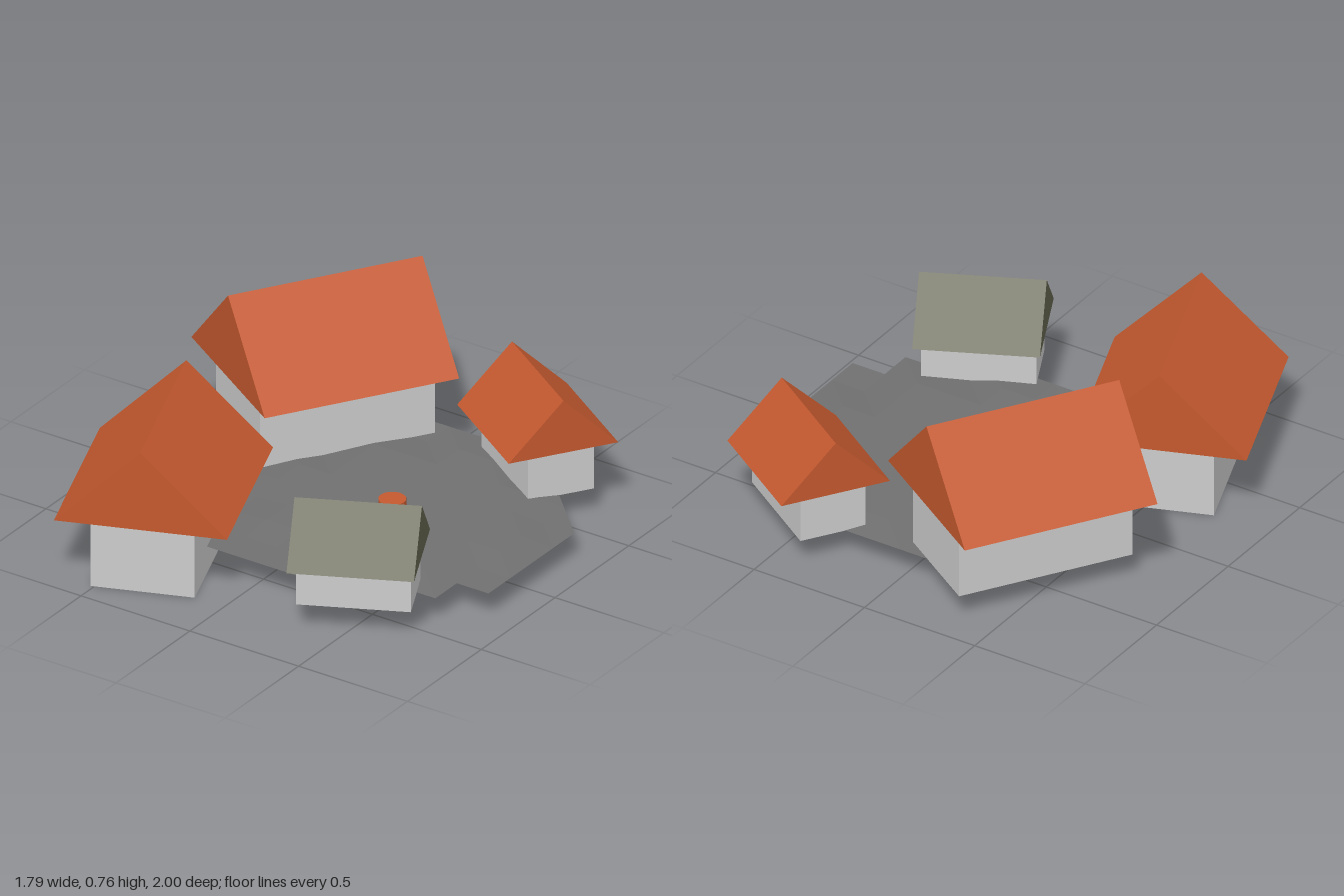
import * as THREE from 'three';

const mat = (color, side = THREE.FrontSide) =>
  new THREE.MeshStandardMaterial({ color, side, flatShading: true });

const wallMat = mat(0xcccccc);
const tileMat = mat(0xc4592f);
const mossMat = mat(0x62634f);
const groundMat = mat(0x707070, THREE.DoubleSide);

// House: box walls under a solid gable roof; ridge runs along local z
function house(name, { x, z, ridge, width, length, base, eave, top, roofMat }) {
  const g = new THREE.Group();
  g.name = name;
  g.position.set(x, 0, z);
  g.rotation.y = Math.atan2(ridge[0], ridge[1]);

  const walls = new THREE.Mesh(
    new THREE.BoxGeometry(width * 0.6, eave - base, length * 0.9), wallMat);
  walls.position.y = (eave + base) / 2;
  walls.name = 'walls';

  const gable = new THREE.Shape([
    new THREE.Vector2(-width / 2, eave),
    new THREE.Vector2(width / 2, eave),
    new THREE.Vector2(0, top),
  ]);
  const roof = new THREE.Mesh(
    new THREE.ExtrudeGeometry(gable, { depth: length, bevelEnabled: false })
      .translate(0, 0, -length / 2), roofMat);
  roof.name = 'roof';
  g.add(walls, roof);
  return g;
}

// Village square: a 9 x 9 grid of thin cells, slightly raised in the middle
function ground() {
  const n = 9, x0 = -0.42, z0 = -0.73, step = 1.31 / n;
  const pos = [], index = [];
  for (let j = 0; j <= n; j++) {
    for (let i = 0; i <= n; i++) {
      const x = x0 + i * step, z = z0 + j * step;
      const r = Math.hypot(x - 0.235, z + 0.075);
      pos.push(x, r < 0.52 ? 0.124 : 0.114, z);
    }
  }
  for (let j = 0; j < n; j++) {
    for (let i = 0; i < n; i++) {
      if (i + j > 2 * n - 4) continue;        // stepped front corner
      const cut = i - j;                      // bevelled back corner
      if (cut > n - 3) continue;
      const a = j * (n + 1) + i, b = a + 1, c = a + n + 1, d = c + 1;
      if (cut === n - 3) index.push(a, c, d);
      else index.push(a, c, d, a, d, b);
    }
  }
  const geo = new THREE.BufferGeometry();
  geo.setAttribute('position', new THREE.Float32BufferAttribute(pos, 3));
  geo.setIndex(index);
  const flat = geo.toNonIndexed();
  flat.computeVertexNormals();
  const mesh = new THREE.Mesh(flat, groundMat);
  mesh.name = 'ground';
  return mesh;
}

export function createModel() {
  const model = new THREE.Group();
  model.name = 'village';

  model.add(
    house('largeHouse', { x: -0.373, z: -0.468, ridge: [-0.539, 0.842],
      width: 0.707, length: 0.805, base: 0.113, eave: 0.41, top: 0.765, roofMat: tileMat }),
    house('frontHouse', { x: -0.445, z: 0.523, ridge: [0.355, 0.935],
      width: 0.677, length: 0.758, base: 0, eave: 0.287, top: 0.622, roofMat: tileMat }),
    house('backHouse', { x: 0.483, z: -0.645, ridge: [0.835, 0.55],
      width: 0.451, length: 0.512, base: 0.113, eave: 0.307, top: 0.533, roofMat: tileMat }),
    house('smallHouse', { x: 0.474, z: 0.558, ridge: [0.895, -0.435],
      width: 0.428, length: 0.49, base: 0.113, eave: 0.291, top: 0.506, roofMat: mossMat }),
    ground(),
  );

  // Well in the middle of the square
  const well = new THREE.Mesh(
    new THREE.CylinderGeometry(0.054, 0.054, 0.105, 16), tileMat);
  well.position.set(0.215, 0.113, -0.055);
  well.name = 'well';
  model.add(well);

  return model;
}
